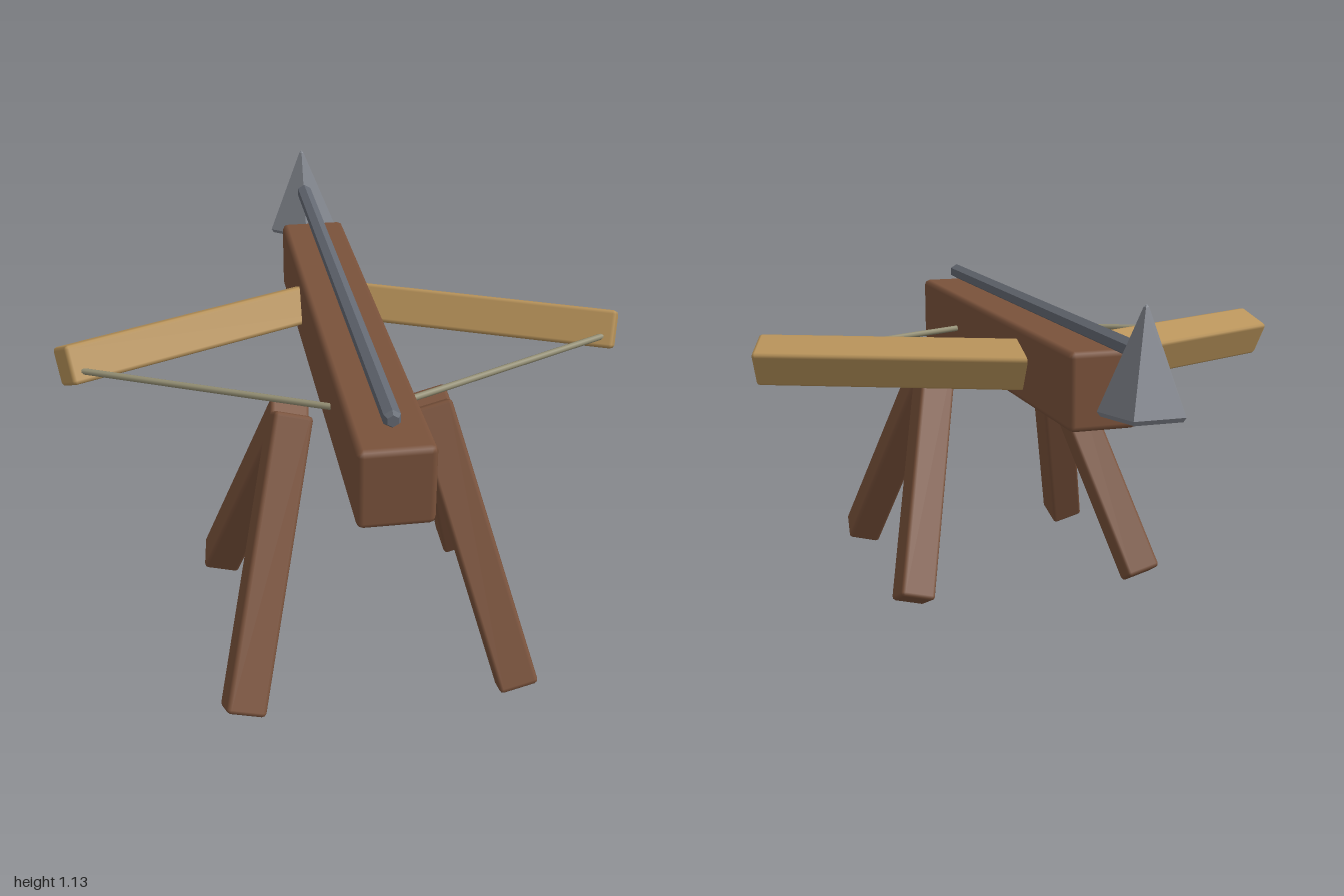
import * as THREE from 'three';
import { RoundedBoxGeometry } from 'three/addons/geometries/RoundedBoxGeometry.js';

const V = (x, y, z) => new THREE.Vector3(x, y, z);
const paint = (color, flatShading = false) => new THREE.MeshStandardMaterial({ color, flatShading });

export function createModel() {
  const model = new THREE.Group();
  const darkWood = paint(0x7a523b), paleWood = paint(0xb8935a);
  const headMetal = paint(0x80848c, true), shaftMetal = paint(0x646972, true), cord = paint(0x928d72);

  const add = (name, geometry, material) => {
    const mesh = new THREE.Mesh(geometry, material);
    mesh.name = name;
    model.add(mesh);
    return mesh;
  };

  // Square bar from a to b; one pair of sides is perpendicular to "facing", then rolled about the bar
  const bar = (name, a, b, size, facing, roll, material) => {
    const axis = b.clone().sub(a);
    const length = axis.length();
    axis.normalize();
    const u = axis.clone().cross(facing).normalize().applyAxisAngle(axis, roll);
    const w = u.clone().cross(axis);
    const mesh = add(name, new RoundedBoxGeometry(size, length, size, 1, 0.012), material);
    mesh.quaternion.setFromRotationMatrix(new THREE.Matrix4().makeBasis(u, axis, w));
    mesh.position.copy(a).lerp(b, 0.5);
  };

  // Stock
  add('stock', new RoundedBoxGeometry(0.21, 0.23, 1.62, 1, 0.018), darkWood).position.set(0, 0.85, 0.19);

  for (const side of [1, -1]) {
    const label = side > 0 ? 'left' : 'right';

    // Splayed legs, one pair per side
    for (const dir of [1, -1]) {
      bar(`${label}${dir > 0 ? 'Front' : 'Back'}Leg`, V(side * 0.207, 0.785, 0.44),
        V(side * 0.405, 0.041, 0.44 + dir * 0.4), 0.116, V(0, 0, 1), 0, darkWood);
    }

    // Swept bow limb with its upper edge rolled backwards
    bar(`${label}BowArm`, V(0, 0.85, -0.216), V(side * 0.855, 0.85, 0.168), 0.12,
      V(0, 1, 0), -side * THREE.MathUtils.degToRad(25), paleWood);

    // Bowstring half, drawn back to the stock
    const string = new THREE.LineCurve3(V(0, 0.85, 0.585), V(side * 0.82, 0.85, 0.195));
    add(`${label}Bowstring`, new THREE.TubeGeometry(string, 1, 0.01, 8), cord);
  }

  // Bolt shaft with chamfered ends
  const shaft = [[0, -0.88], [0.017, -0.88], [0.026, -0.865], [0.026, 0.865], [0.017, 0.88], [0, 0.88]];
  const shaftMesh = add('boltShaft',
    new THREE.LatheGeometry(shaft.map(([r, y]) => new THREE.Vector2(r, y)), 6), shaftMetal);
  shaftMesh.rotation.x = Math.PI / 2;
  shaftMesh.position.set(0, 1.004, 0.04);

  // Five-sided pointed head
  const head = [[0, 0.84], [0.116, 0.84], [0.125, 0.853], [0.008, 1.128], [0, 1.135]];
  add('boltHead', new THREE.LatheGeometry(head.map(([r, y]) => new THREE.Vector2(r, y)), 5), headMetal)
    .position.z = -0.897;

  return model;
}
